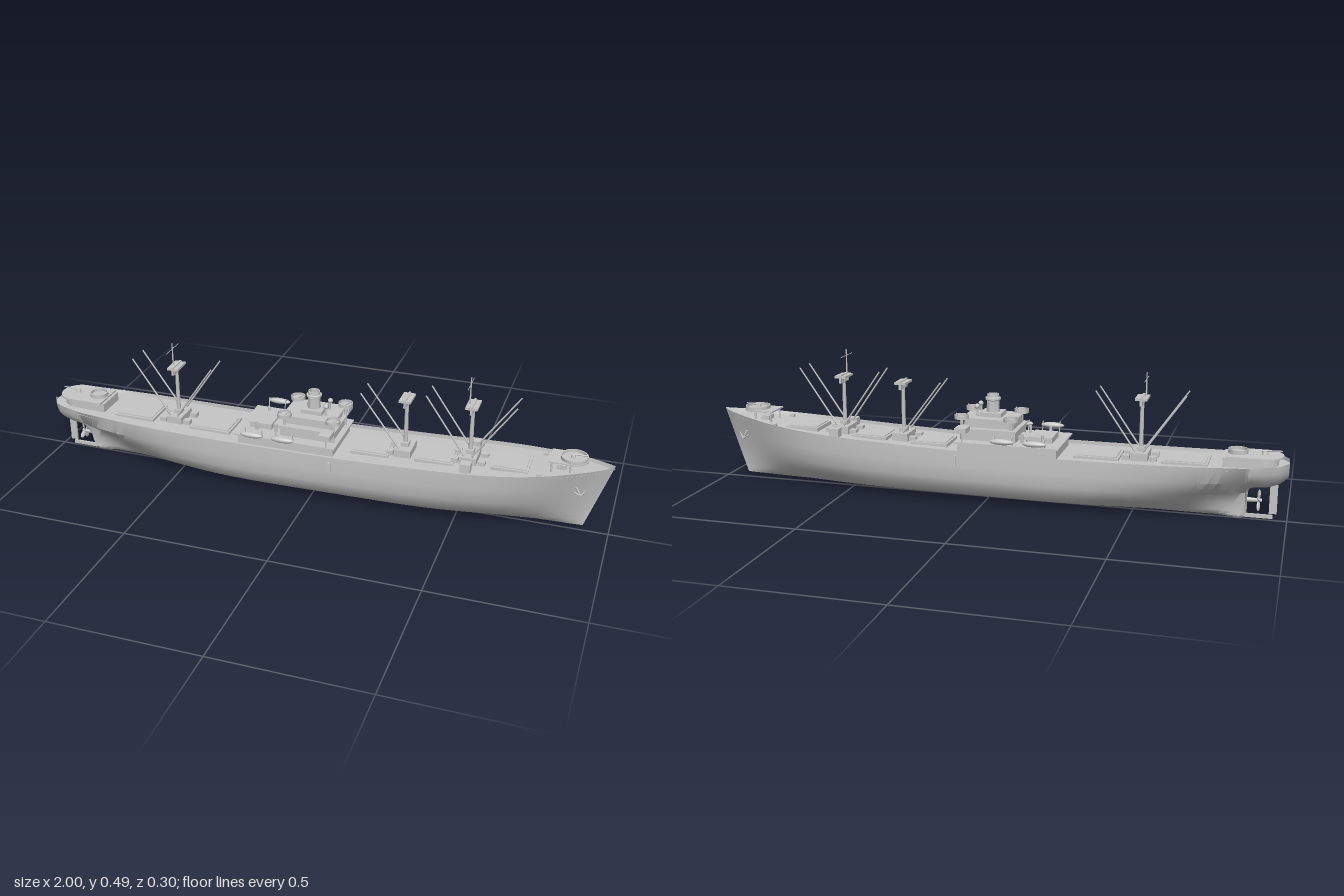
import * as THREE from 'three';
import { toCreasedNormals } from 'three/addons/utils/BufferGeometryUtils.js';

const grey = new THREE.MeshStandardMaterial({ color: 0xc6c6c6, side: THREE.DoubleSide });
grey.name = 'ship grey';

// Hull stations: x, keel height, rail height, half-widths at the LEVELS above the keel
const LEVELS = [0.04, 0.11, 0.25, 0.45, 0.7, 1];
const STATIONS = [
  [-0.998, 0.145, 0.198, 0.005, 0.01, 0.015, 0.02, 0.025, 0.03],
  [-0.97, 0.12, 0.197, 0.01, 0.025, 0.045, 0.06, 0.068, 0.072],
  [-0.93, 0.105, 0.195, 0.012, 0.03, 0.055, 0.075, 0.085, 0.09],
  [-0.875, 0.095, 0.193, 0.012, 0.03, 0.06, 0.085, 0.1, 0.104],
  [-0.865, 0.001, 0.192, 0.005, 0.005, 0.007, 0.016, 0.078, 0.106],
  [-0.78, 0.001, 0.19, 0.008, 0.012, 0.02, 0.045, 0.1, 0.114],
  [-0.65, 0.001, 0.187, 0.015, 0.03, 0.055, 0.09, 0.118, 0.123],
  [-0.5, 0.002, 0.185, 0.03, 0.06, 0.09, 0.115, 0.126, 0.128],
  [-0.3, 0.003, 0.184, 0.05, 0.085, 0.112, 0.126, 0.13, 0.13],
  [0.1, 0.004, 0.187, 0.05, 0.085, 0.112, 0.126, 0.13, 0.13],
  [0.4, 0.005, 0.198, 0.045, 0.078, 0.105, 0.122, 0.129, 0.13],
  [0.6, 0.007, 0.209, 0.03, 0.055, 0.085, 0.108, 0.12, 0.125],
  [0.75, 0.009, 0.221, 0.018, 0.034, 0.056, 0.078, 0.092, 0.104],
  [0.88, 0.011, 0.235, 0.009, 0.017, 0.028, 0.04, 0.051, 0.065],
  [0.97, 0.013, 0.244, 0.003, 0.005, 0.008, 0.012, 0.016, 0.021],
  [0.996, 0.014, 0.249, 0.001, 0.001, 0.001, 0.001, 0.001, 0.001],
];
const DECK_DROP = 0.012;

// Longitudinal curve through all stations at one level; the stem is raked
function levelCurve(t, col) {
  return new THREE.CatmullRomCurve3(STATIONS.map((s) => new THREE.Vector3(
    s[0] - 0.08 * THREE.MathUtils.smoothstep(s[0], 0.6, 1) * (1 - t),
    s[1] + (s[2] - s[1]) * t,
    col < 0 ? 0 : s[3 + col])));
}
const SAMPLES = (STATIONS.length - 1) * 4;
const sample = (c) => Array.from({ length: SAMPLES + 1 }, (_, i) => c.getPoint(i / SAMPLES));

function deckY(x) {
  let i = 1;
  while (i < STATIONS.length - 1 && STATIONS[i][0] < x) i++;
  const a = STATIONS[i - 1], b = STATIONS[i];
  return a[2] + (b[2] - a[2]) * (x - a[0]) / (b[0] - a[0]) - DECK_DROP;
}

function buffer(pos, idx, crease) {
  const g = new THREE.BufferGeometry();
  g.setAttribute('position', new THREE.Float32BufferAttribute(pos, 3));
  g.setIndex(idx);
  return toCreasedNormals(g, crease);
}

function hullGeometry() {
  const lines = LEVELS.map((t, k) => sample(levelCurve(t, k)));
  const rows = [...lines.slice().reverse().map((l) => [l, 1]), [sample(levelCurve(0, -1)), 0], ...lines.map((l) => [l, -1])];
  const n = rows.length, pos = [], idx = [];
  for (let i = 0; i <= SAMPLES; i++) for (const [l, s] of rows) pos.push(l[i].x, l[i].y, l[i].z * s);
  for (let i = 0; i < SAMPLES; i++) for (let j = 0; j < n - 1; j++) {
    const a = i * n + j, b = a + 1, c = a + n, d = c + 1;
    idx.push(a, b, c, b, d, c);
  }
  // flat cap at the stern
  pos.push(-0.999, 0.18, 0);
  for (let j = 0; j < n - 1; j++) idx.push((SAMPLES + 1) * n, j + 1, j);
  return buffer(pos, idx, 0.6);
}

function deckGeometry() {
  const pos = [], idx = [];
  sample(levelCurve(1, 5)).forEach((p, i) => {
    const w = Math.max(0.0005, p.z - 0.003);
    pos.push(p.x, p.y - DECK_DROP, w, p.x, p.y - DECK_DROP, -w);
    const a = i * 2;
    if (i < SAMPLES) idx.push(a, a + 2, a + 1, a + 2, a + 3, a + 1);
  });
  return buffer(pos, idx, 0.6);
}

export function createModel() {
  const ship = new THREE.Group();
  ship.name = 'cargoShip';
  const add = (name, geo, x = 0, y = 0, z = 0) => {
    const m = new THREE.Mesh(geo, grey);
    m.name = name;
    m.position.set(x, y, z);
    ship.add(m);
    return m;
  };
  // box from x range, y range and depth about z
  const box = (name, x0, x1, y0, y1, d, z = 0) =>
    add(name, new THREE.BoxGeometry(x1 - x0, y1 - y0, d), (x0 + x1) / 2, (y0 + y1) / 2, z);
  const rod = (name, a, b, r0, r1 = r0) => {
    const p = new THREE.Vector3(...a), q = new THREE.Vector3(...b), dir = q.clone().sub(p);
    const m = add(name, new THREE.CylinderGeometry(r1, r0, dir.length(), 8));
    m.position.copy(p).add(q).multiplyScalar(0.5);
    m.quaternion.setFromUnitVectors(new THREE.Vector3(0, 1, 0), dir.normalize());
  };
  const lathe = (name, pts, x, y, z, seg = 20) =>
    add(name, toCreasedNormals(new THREE.LatheGeometry(pts.map((p) => new THREE.Vector2(...p)), seg), 0.6), x, y, z);
  const tub = (name, x, y, z, r, h) =>
    lathe(name, [[0, 0], [r, 0], [r, h], [r * 0.9, h], [r * 0.9, h * 0.3], [0, h * 0.3]], x, y, z);
  // slab with one round end; dir is the way the round end points
  const roundSlab = (name, xFlat, xRound, y, h, r, dir) => {
    const s = new THREE.Shape(), c = xRound - dir * r;
    s.moveTo(xFlat, -r * dir);
    s.lineTo(c, -r * dir);
    s.absarc(c, 0, r, -dir * Math.PI / 2, -dir * Math.PI / 2 + Math.PI, false);
    s.lineTo(xFlat, r * dir);
    const g = new THREE.ExtrudeGeometry(s, { depth: h, bevelEnabled: false, curveSegments: 16 });
    add(name, toCreasedNormals(g.rotateX(-Math.PI / 2), 0.6), 0, y, 0);
  };

  add('hull', hullGeometry());
  add('deck', deckGeometry());

  // Stern gear
  box('sternFrame', -0.955, -0.86, 0.001, 0.013, 0.008);
  box('rudder', -0.967, -0.942, 0.018, 0.115, 0.007);
  rod('propellerShaft', [-0.918, 0.06, 0], [-0.86, 0.06, 0], 0.006, 0.009);
  for (let i = 0; i < 4; i++) {
    const g = new THREE.SphereGeometry(1, 10, 6).scale(0.003, 0.017, 0.009).rotateY(0.6).translate(0, 0.019, 0);
    add('propellerBlade', g.rotateX(i * Math.PI / 2 + 0.4), -0.908, 0.06, 0);
  }

  // Hatches: coaming with a raised cover
  for (const [x, l] of [[-0.67, 0.15], [-0.38, 0.15], [0.2, 0.13], [0.42, 0.13], [0.67, 0.12]]) {
    const y = deckY(x);
    box('hatchCoaming', x - l / 2, x + l / 2, y - 0.006, y + 0.008, 0.12);
    box('hatchCover', x - l / 2 + 0.008, x + l / 2 - 0.008, y, y + 0.011, 0.104);
  }

  // Masts with houses, crosstrees and derrick booms (dirs = which way booms lean)
  for (const [x, top, boomTop, topmast, dirs] of [
    [-0.52, 0.385, 0.4, 0.462, [-1, 1]], [0.31, 0.39, 0.395, 0, [-1]], [0.53, 0.4, 0.42, 0.487, [-1, 1]]]) {
    const y = deckY(x);
    box('mastHouse', x - 0.028, x + 0.028, y - 0.006, y + 0.026, 0.09);
    rod('mast', [x, y, 0], [x, top, 0], 0.008, 0.006);
    box('crosstree', x - 0.02, x + 0.02, top - 0.012, top - 0.004, 0.07);
    box('crosstreeWeb', x - 0.004, x + 0.004, top - 0.03, top, 0.07);
    box('mastCollar', x - 0.013, x + 0.013, y + 0.026, y + 0.04, 0.03);
    if (topmast) {
      rod('topmast', [x - 0.012, top - 0.02, 0], [x - 0.012, topmast, 0], 0.003, 0.002);
      rod('signalYard', [x - 0.012, topmast - 0.022, -0.048], [x - 0.012, topmast - 0.022, 0.048], 0.0012);
    }
    for (const d of dirs) for (const s of [-1, 1]) {
      rod('derrickBoom', [x + d * 0.012, y + 0.03, s * 0.04], [x + d * 0.148, boomTop, s * 0.04], 0.0032, 0.0026);
      box('winch', x + d * 0.045 - 0.012, x + d * 0.045 + 0.012, y, y + 0.016, 0.022, s * 0.03);
    }
  }
  for (const s of [-1, 1]) {
    const y = deckY(0.53);
    box('lifeRaft', 0.515, 0.55, y, y + 0.03, 0.03, s * 0.085);
  }

  // Midship superstructure, tier by tier
  box('deckHouse', -0.255, 0.085, 0.168, 0.21, 0.2);
  box('boatDeck', -0.265, 0.095, 0.207, 0.212, 0.23);
  box('cabinTier', -0.11, 0.075, 0.21, 0.25, 0.15);
  box('aftCabin', -0.23, -0.15, 0.21, 0.232, 0.1);
  box('skylight', -0.15, -0.11, 0.21, 0.225, 0.06);
  box('bridgeDeck', -0.115, 0.085, 0.248, 0.253, 0.17);
  box('wheelhouse', -0.1, 0.07, 0.252, 0.283, 0.12);
  box('bridgeRoof', -0.105, 0.08, 0.282, 0.286, 0.14);
  for (const s of [-1, 1]) {
    box('bridgeWing', 0.045, 0.085, 0.247, 0.264, 0.05, s * 0.106);
    rod('wingPost', [0.065, 0.21, s * 0.11], [0.065, 0.25, s * 0.11], 0.003);
    for (const x of [0.077, -0.095]) {
      tub('gunTub', x, 0.284, s * 0.07, 0.025, 0.013);
      rod('gunTubPost', [x, 0.21, s * 0.07], [x, 0.285, s * 0.07], 0.006);
      rod('gun', [x, 0.288, s * 0.07], [x + 0.02, 0.302, s * 0.07], 0.0018);
    }
    // Lifeboats on davits
    for (const x of [-0.19, -0.08]) {
      const g = new THREE.SphereGeometry(1, 20, 10).scale(0.041, 0.01, 0.0125);
      add('lifeboat', g, x, 0.23, s * 0.137);
      for (const e of [-0.03, 0.03]) {
        rod('davitPost', [x + e, 0.21, s * 0.11], [x + e, 0.247, s * 0.118], 0.0018);
        rod('davitArm', [x + e, 0.247, s * 0.118], [x + e, 0.235, s * 0.137], 0.0015);
      }
    }
    // Cowl vents beside the funnel
    rod('ventStem', [0.035, 0.285, s * 0.024], [0.035, 0.318, s * 0.024], 0.004);
    add('ventCowl', new THREE.SphereGeometry(0.009, 12, 8), 0.037, 0.319, s * 0.024);
    for (const x of [-0.2, -0.13]) rod('deckVent', [x, 0.21, s * 0.06], [x, 0.243, s * 0.06], 0.005);
    // Side ladder and anchor
    box('sideLadder', 0.079, 0.089, 0.135, 0.17, 0.009, s * 0.134);
    const y = 0.165, z = s * 0.056;
    rod('anchorShank', [0.902, y - 0.012, z], [0.886, y + 0.018, z], 0.0035);
    rod('anchorArm', [0.902, y - 0.012, z], [0.878, y + 0.004, z + s * 0.003], 0.0035, 0.0015);
    rod('anchorArm', [0.902, y - 0.012, z], [0.916, y + 0.01, z - s * 0.004], 0.0035, 0.0015);
    box('bollard', 0.76, 0.775, deckY(0.77), deckY(0.77) + 0.01, 0.012, s * 0.075);
  }

  // Funnel
  box('funnelBase', -0.05, 0.025, 0.284, 0.3, 0.07);
  lathe('funnel', [[0.023, 0], [0.021, 0.05], [0.026, 0.053], [0.026, 0.06], [0.021, 0.062], [0.02, 0.072],
    [0.017, 0.072], [0.017, 0.055], [0, 0.055]], -0.013, 0.288, 0, 24);

  // Bow gun platform on posts
  roundSlab('bowPlatform', 0.79, 0.912, 0.25, 0.005, 0.046, 1);
  tub('bowGunTub', 0.866, 0.254, 0, 0.044, 0.012);
  rod('bowGunMount', [0.862, 0.255, 0], [0.862, 0.268, 0], 0.009, 0.006);
  rod('bowGunBarrel', [0.855, 0.268, 0], [0.91, 0.271, 0], 0.003, 0.002);
  for (const x of [0.8, 0.86]) for (const s of [-1, 1])
    rod('platformPost', [x, deckY(x), s * 0.036], [x, 0.252, s * 0.036], 0.003);
  box('windlass', 0.815, 0.845, deckY(0.83), deckY(0.83) + 0.015, 0.04);

  // Stern house with gun tubs
  roundSlab('sternHouse', -0.79, -0.965, 0.178, 0.031, 0.055, -1);
  roundSlab('sternPlatform', -0.8, -0.98, 0.209, 0.006, 0.062, -1);
  tub('sternGunTub', -0.835, 0.214, 0, 0.032, 0.015);
  rod('sternGunMount', [-0.92, 0.213, 0], [-0.92, 0.226, 0], 0.011, 0.007);
  rod('sternGunBarrel', [-0.91, 0.226, 0], [-0.975, 0.229, 0], 0.003, 0.002);

  return ship;
}
